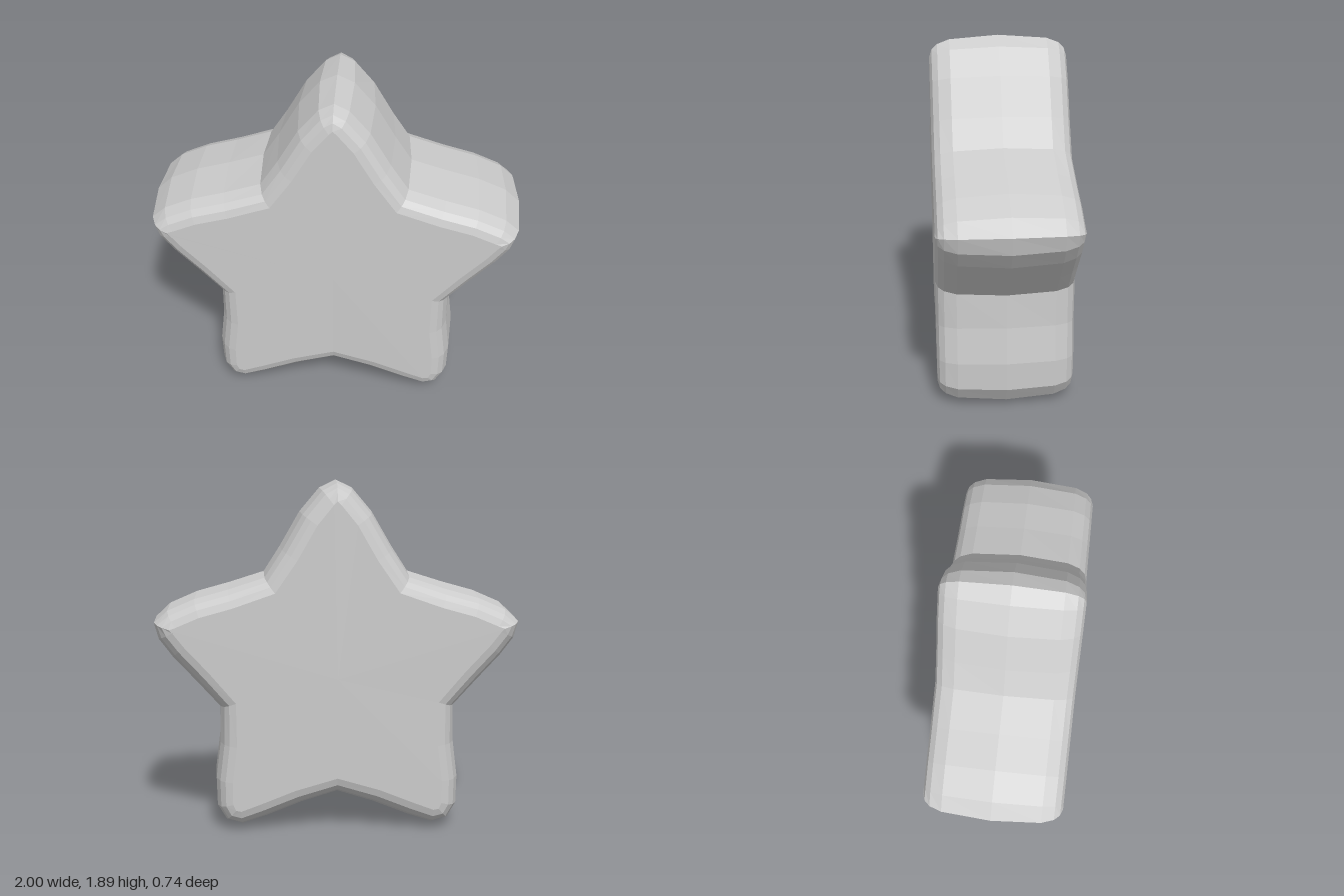
import * as THREE from 'three';

// Right half of the rounded star outline, clockwise from the top tip to the bottom notch
const HALF = [
  [0, 1.893], [0.09, 1.85], [0.2, 1.72], [0.31, 1.53], [0.4, 1.39],
  [0.59, 1.33], [0.77, 1.28], [0.92, 1.215], [1.0, 1.14], [0.975, 1.04],
  [0.9, 0.94], [0.77, 0.8], [0.65, 0.67], [0.655, 0.48], [0.68, 0.28],
  [0.675, 0.12], [0.62, 0.03], [0.52, 0], [0.38, 0.045], [0.19, 0.12], [0, 0.18],
];

// Bevel profile from the widest line to the flat face: [inset, z]
const BEVEL = [[0, 0], [0.02, 0.26], [0.045, 0.325], [0.075, 0.355], [0.115, 0.368]];
const CENTRE_Y = 0.84;
const FACE_Z = 0.372;

// Moves every outline point inwards along its averaged edge normal
function insetOutline(points, amount) {
  const n = points.length;
  return points.map((p, i) => {
    const before = p.clone().sub(points[(i + n - 1) % n]).normalize();
    const after = points[(i + 1) % n].clone().sub(p).normalize();
    const along = before.add(after).normalize();
    return new THREE.Vector2(p.x + along.y * amount, p.y - along.x * amount);
  });
}

function starGeometry() {
  const mirrored = HALF.slice(1, -1).reverse().map(([x, y]) => [-x, y]);
  const outline = [...HALF, ...mirrored].map(([x, y]) => new THREE.Vector2(x, y));
  const n = outline.length;
  const back = BEVEL.slice(1).reverse().map(([inset, z]) => [inset, -z]);
  const rings = [...back, ...BEVEL];
  const positions = [];
  const index = [];

  // Rings from back to front
  for (const [inset, z] of rings) {
    for (const p of insetOutline(outline, inset)) positions.push(p.x, p.y, z);
  }
  for (let k = 0; k < rings.length - 1; k++) {
    for (let i = 0; i < n; i++) {
      const j = (i + 1) % n;
      const a = k * n + i, b = k * n + j;
      index.push(a, a + n, b, b, a + n, b + n);
    }
  }

  // Front and back faces as shallow fans
  const backCentre = rings.length * n;
  const frontCentre = backCentre + 1;
  const last = (rings.length - 1) * n;
  positions.push(0, CENTRE_Y, -FACE_Z, 0, CENTRE_Y, FACE_Z);
  for (let i = 0; i < n; i++) {
    const j = (i + 1) % n;
    index.push(backCentre, i, j, frontCentre, last + j, last + i);
  }

  const geometry = new THREE.BufferGeometry();
  geometry.setAttribute('position', new THREE.Float32BufferAttribute(positions, 3));
  geometry.setIndex(index);
  geometry.computeVertexNormals();
  return geometry;
}

export function createModel() {
  const group = new THREE.Group();
  group.name = 'star';
  const material = new THREE.MeshStandardMaterial({ color: 0xcccccc, flatShading: true });
  const body = new THREE.Mesh(starGeometry(), material);
  body.name = 'starBody';
  group.add(body);
  return group;
}
